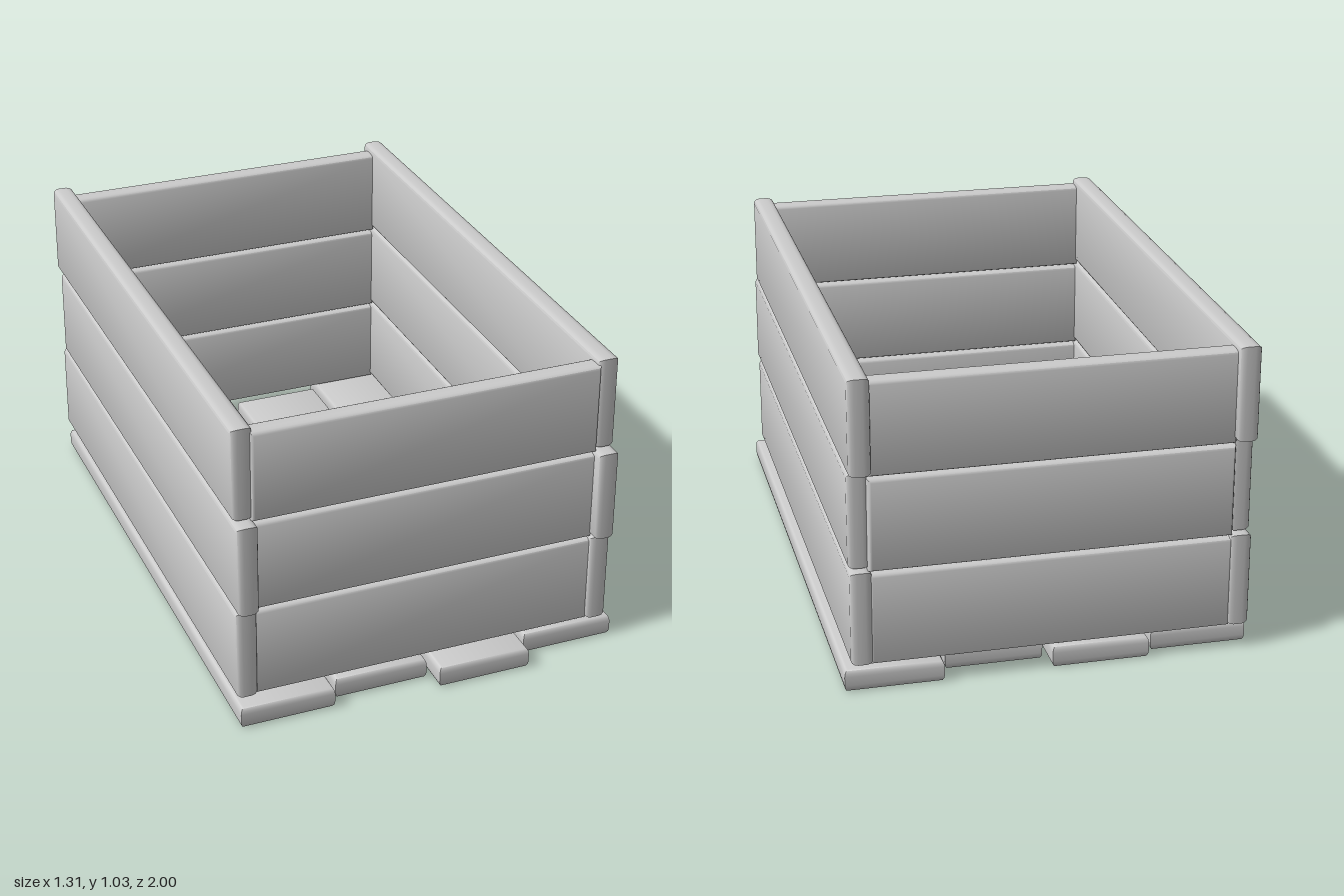
import * as THREE from 'three';
import { toCreasedNormals } from 'three/addons/utils/BufferGeometryUtils.js';

const material = new THREE.MeshStandardMaterial({ color: 0xcccccc });

// Board lying in its local XY plane, with softly rounded edges through its thickness (z).
function boardGeometry(width, height, thickness) {
  const inset = 0.012, round = 0.022;
  const w = width / 2 - inset, h = height / 2 - inset;
  const shape = new THREE.Shape([
    new THREE.Vector2(-w, -h), new THREE.Vector2(w, -h),
    new THREE.Vector2(w, h), new THREE.Vector2(-w, h),
  ]);
  const depth = thickness - 2 * round;
  const geometry = new THREE.ExtrudeGeometry(shape, {
    depth, bevelEnabled: true, bevelSize: inset, bevelThickness: round, bevelSegments: 3,
  });
  geometry.translate(0, 0, -depth / 2);
  return toCreasedNormals(geometry, 0.7);
}

export function createModel() {
  const crate = new THREE.Group();
  crate.name = 'crate';

  const add = (name, geometry, x, y, z) => {
    const mesh = new THREE.Mesh(geometry, material);
    mesh.name = name;
    mesh.position.set(x, y, z);
    crate.add(mesh);
  };

  const length = 1.912, height = 0.31, thickness = 0.07;

  // Floor slats, unevenly shifted along z
  const slat = boardGeometry(0.314, length, 0.073).rotateX(Math.PI / 2);
  [0.018, -0.022, 0.044, -0.03].forEach((z, i) => {
    add(`floorSlat${i + 1}`, slat, -0.497 + i * 0.331, 0.0385, z);
  });

  // Long side boards, each row shifted along z
  const side = boardGeometry(length, height, thickness).rotateY(Math.PI / 2);
  [-0.025, 0, -0.042].forEach((z, row) => {
    const y = 0.242 + row * 0.3165;
    add(`leftSideBoard${row + 1}`, side, 0.595, y, z);
    add(`rightSideBoard${row + 1}`, side, -0.615, y, z);
  });

  // Short end boards between the sides
  const end = boardGeometry(1.16, height - 0.003, thickness);
  for (let row = 0; row < 3; row++) {
    const y = 0.234 + row * 0.3125;
    add(`frontBoard${row + 1}`, end, -0.01, y, 0.886);
    add(`backBoard${row + 1}`, end, -0.01, y, -0.942);
  }

  return crate;
}
